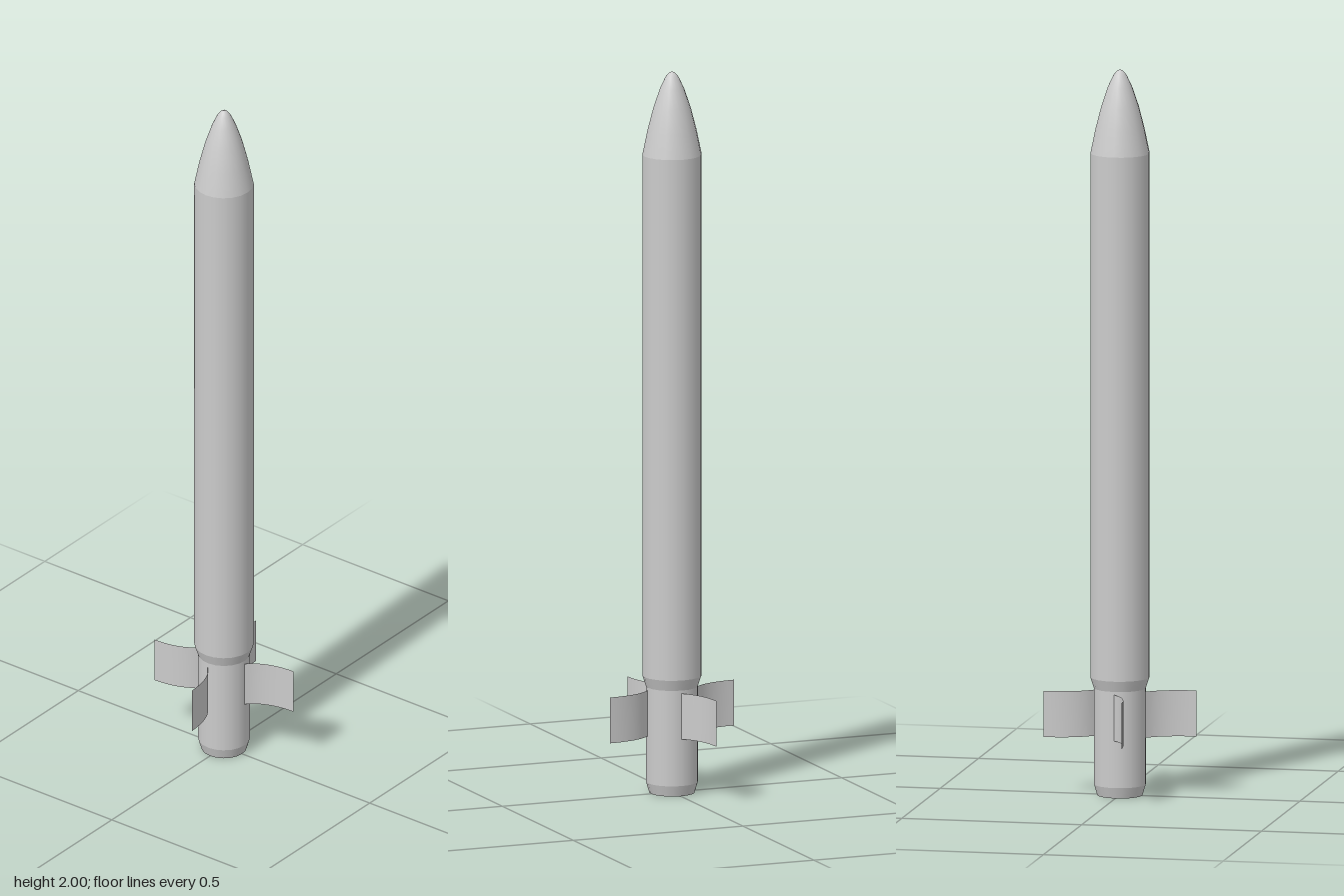
import * as THREE from 'three';

const SIDES = 20;
const grey = new THREE.MeshStandardMaterial({ color: 0xcccccc });
const thin = new THREE.MeshStandardMaterial({ color: 0xcccccc, side: THREE.DoubleSide });

// One turned section; edges between sections stay sharp
function turned(name, profile) {
  const points = profile.map(([r, y]) => new THREE.Vector2(r, y));
  const mesh = new THREE.Mesh(new THREE.LatheGeometry(points, SIDES), grey);
  mesh.name = name;
  return mesh;
}

// Curved sheet fin, swept upward from its plan curve
function finGeometry(bottom, top) {
  const curve = new THREE.CubicBezierCurve(
    new THREE.Vector2(0.072, 0.002), new THREE.Vector2(0.098, -0.028),
    new THREE.Vector2(0.142, -0.046), new THREE.Vector2(0.203, -0.047));
  const steps = 10;
  const geometry = new THREE.PlaneGeometry(1, 1, steps, 1);
  const pos = geometry.attributes.position;
  for (let i = 0; i < pos.count; i++) {
    const p = curve.getPoint(pos.getX(i) + 0.5);
    pos.setXYZ(i, p.x, pos.getY(i) > 0 ? top : bottom, p.y);
  }
  geometry.computeVertexNormals();
  return geometry;
}

export function createModel() {
  const model = new THREE.Group();
  model.name = 'rocket';

  // Body, from the recessed exhaust up to the nose tip
  model.add(
    turned('exhaustFloor', [[0, 0.02], [0.05, 0.02]]),
    turned('exhaustWall', [[0.05, 0.02], [0.05, 0]]),
    turned('exhaustRim', [[0.05, 0], [0.062, 0]]),
    turned('tailChamfer', [[0.062, 0], [0.071, 0.03]]),
    turned('tailTube', [[0.071, 0.03], [0.071, 0.295]]),
    turned('shoulder', [[0.071, 0.295], [0.081, 0.325]]),
    turned('mainTube', [[0.081, 0.325], [0.081, 1.77]]),
    turned('noseCone', [[0.081, 1.77], [0.067, 1.838], [0.051, 1.9], [0.033, 1.953],
      [0.018, 1.985], [0.008, 1.997], [0, 2]]),
  );

  // Four curved fins around the tail
  const geometry = finGeometry(0.16, 0.287);
  const fins = new THREE.Group();
  fins.name = 'tailFins';
  for (let i = 0; i < 4; i++) {
    const fin = new THREE.Mesh(geometry, thin);
    fin.name = 'tailFin';
    fin.rotation.y = i * Math.PI / 2;
    fins.add(fin);
  }
  model.add(fins);
  return model;
}
